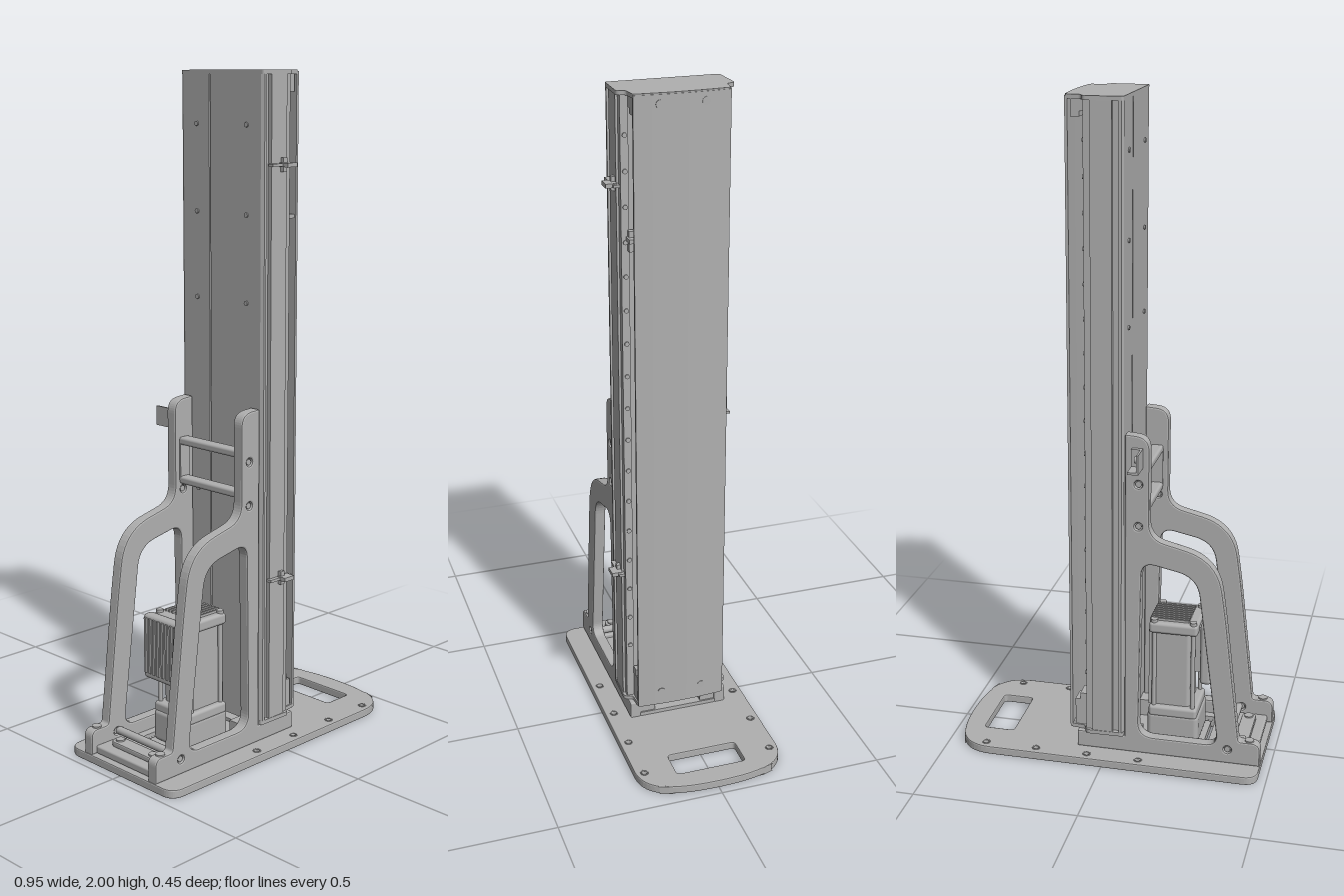
import * as THREE from 'three';
import { RoundedBoxGeometry } from 'three/addons/geometries/RoundedBoxGeometry.js';

const grey = new THREE.MeshStandardMaterial({ color: 0xb0b0b0, side: THREE.DoubleSide });
grey.name = 'machine grey';

export function createModel() {
  const model = new THREE.Group();
  model.name = 'liftColumn';

  const add = (name, geo, parent = model) => {
    const m = new THREE.Mesh(geo, grey);
    m.name = name;
    parent.add(m);
    return m;
  };
  const group = (name) => {
    const g = new THREE.Group();
    g.name = name;
    model.add(g);
    return g;
  };
  // box given by its limits on each axis, optionally with rounded edges
  const box = (name, [x0, x1], [y0, y1], [z0, z1], parent, r = 0) => {
    const s = [x1 - x0, y1 - y0, z1 - z0];
    const geo = r ? new RoundedBoxGeometry(...s, 2, r) : new THREE.BoxGeometry(...s);
    return add(name, geo.translate((x0 + x1) / 2, (y0 + y1) / 2, (z0 + z1) / 2), parent);
  };
  // cylinder centred on a point, along the named axis
  const rod = (name, axis, r, len, [x, y, z], parent, sides = 20) => {
    const geo = new THREE.CylinderGeometry(r, r, len, sides);
    if (axis === 'x') geo.rotateZ(Math.PI / 2);
    if (axis === 'z') geo.rotateX(Math.PI / 2);
    return add(name, geo.translate(x, y, z), parent);
  };
  // outline with rounded corners; points are [x, y, radius]
  const rounded = (pts, Type = THREE.Shape) => {
    const s = new Type();
    pts.forEach(([x, y, r = 0], i) => {
      const p = new THREE.Vector2(x, y);
      const toward = (q) => new THREE.Vector2(q[0], q[1]).sub(p).normalize().multiplyScalar(r).add(p);
      const a = toward(pts[(i + pts.length - 1) % pts.length]);
      const b = toward(pts[(i + 1) % pts.length]);
      if (i) s.lineTo(a.x, a.y); else s.moveTo(a.x, a.y);
      if (r) s.quadraticCurveTo(x, y, b.x, b.y);
    });
    s.closePath();
    return s;
  };
  const rect = (x0, x1, y0, y1, r, Type) =>
    rounded([[x0, y0, r], [x1, y0, r], [x1, y1, r], [x0, y1, r]], Type);
  const circle = (x, y, r) => new THREE.Path().absarc(x, y, r, 0, Math.PI * 2, true);
  const extrude = (shape, depth, bevel = 0) => new THREE.ExtrudeGeometry(shape, {
    depth: depth - 2 * bevel, curveSegments: 10, bevelEnabled: bevel > 0, bevelSize: bevel,
    bevelThickness: bevel, bevelOffset: -bevel, bevelSegments: 2,
  }).translate(0, 0, bevel);
  // plan outline (x, -z) raised from y0 to y1
  const raise = (shape, y0, y1, bevel) => extrude(shape, y1 - y0, bevel).rotateX(-Math.PI / 2).translate(0, y0, 0);

  // Base plate with handle slot, bolt holes and drive opening
  const plate = rounded([[-0.475, -0.227, 0.045], [0.43, -0.227, 0.08], [0.468, -0.12, 0.06],
    [0.476, 0, 0.06], [0.468, 0.12, 0.06], [0.43, 0.227, 0.08], [-0.475, 0.227, 0.045]]);
  plate.holes.push(rect(0.31, 0.405, -0.108, 0.108, 0.012, THREE.Path));
  plate.holes.push(rect(-0.3, 0.08, -0.095, 0.095, 0.015, THREE.Path));
  for (const x of [-0.11, 0.05, 0.21, 0.37])
    for (const z of [-0.2, 0.2]) plate.holes.push(circle(x, z, 0.008));
  add('basePlate', raise(plate, 0.004, 0.03, 0.004));
  const collar = group('boltCollars');
  for (const x of [-0.11, 0.05, 0.21, 0.37])
    for (const z of [-0.2, 0.2])
      add('boltCollar', new THREE.TorusGeometry(0.0105, 0.002, 6, 20).rotateX(Math.PI / 2).translate(x, 0.03, z), collar);

  // Side frames: foot, bottom rail, curved strut and upright in one outline
  const outline = rounded([[-0.473, 0.03], [0.09, 0.03], [0.09, 0.083, 0.005], [-0.058, 0.083],
    [-0.058, 1.05, 0.006], [-0.13, 1.045, 0.04], [-0.13, 0.735, 0.05], [-0.335, 0.685, 0.1],
    [-0.362, 0.5, 0.05], [-0.408, 0.105, 0.01], [-0.473, 0.105, 0.025]]);
  outline.holes.push(rounded([[-0.345, 0.085, 0.04], [-0.1, 0.085, 0.05], [-0.108, 0.66, 0.045],
    [-0.275, 0.625, 0.06]], THREE.Path));
  for (const [x, y] of [[-0.098, 0.9], [-0.098, 0.77], [-0.375, 0.075]]) outline.holes.push(circle(x, y, 0.012));
  const frames = group('sideFrames');
  for (const z0 of [-0.157, 0.121]) {
    add('sideFrame', extrude(outline, 0.036, 0.005).translate(0, 0, z0), frames);
    for (const [x, y] of [[-0.098, 0.9], [-0.098, 0.77], [-0.375, 0.075]])
      rod('frameBolt', 'z', 0.009, 0.026, [x, y, z0 + 0.018], frames);
    rod('footBolt', 'y', 0.014, 0.006, [-0.44, 0.106, z0 + 0.018], frames);
  }

  // Cross bars joining the frames
  const bars = group('crossBars');
  for (const y of [0.8, 0.92]) box('crossBar', [-0.114, -0.076], [y - 0.012, y + 0.012], [-0.125, 0.125], bars, 0.008);
  for (const z of [-0.122, 0.122]) box('crossBarFlange', [-0.114, -0.076], [0.8, 0.92], [z - 0.006, z + 0.006], bars);
  box('footBeam', [-0.457, -0.36], [0.03, 0.055], [-0.125, 0.125], bars, 0.006);
  add('footPad', raise(rect(-0.428, -0.384, -0.095, 0.095, 0.022), 0.055, 0.072, 0.004), bars);
  for (const z of [-0.072, 0.072]) rod('padBolt', 'y', 0.014, 0.005, [-0.406, 0.074, z], bars);
  rod('footRod', 'z', 0.012, 0.25, [-0.365, 0.075, 0], bars);
  const floor = rect(-0.36, 0.09, -0.125, 0.125, 0.005);
  floor.holes.push(rect(-0.3, -0.02, -0.095, 0.095, 0.015, THREE.Path));
  add('lowerTray', raise(floor, 0.03, 0.042), bars);

  // Column body: profile with slots down both sides and a seam at the back
  const half = [[-0.055, 0.155], [-0.05, 0.165], [-0.042, 0.165], [-0.042, 0.152], [-0.022, 0.152],
    [-0.022, 0.165], [0.04, 0.165], [0.04, 0.158], [0.06, 0.158], [0.06, 0.135], [0.052, 0.135], [0.052, 0.11]];
  const profile = [...half, ...half.map(([x, z]) => [x, -z]).reverse(),
    [-0.055, 0.045], [-0.05, 0.045], [-0.05, 0.05], [-0.055, 0.05]];
  const column = group('column');
  add('columnBody', raise(rounded(profile), 0.085, 1.992), column);
  for (const z of [-0.1, 0.1]) {
    for (const y of [0.77, 0.9, 1.35, 1.6, 1.85]) rod('rearScrew', 'x', 0.007, 0.006, [-0.056, y, z], column, 12);
    box('columnFoot', [-0.1, 0.085], [0.03, 0.086], [z - 0.025, z + 0.025], column);
  }
  // Slightly bowed cover
  const cover = rounded([[0.108, -0.138], [0.116, -0.138], [0.122, -0.07, 0.04], [0.124, 0, 0.04],
    [0.122, 0.07, 0.04], [0.116, 0.138], [0.108, 0.138], [0.112, 0, 0.08]]);
  add('coverPanel', raise(cover, 0.085, 1.996), column);
  // End caps and the blocks that hold the cover
  const capShape = rounded([[-0.055, -0.165, 0.008], [0.06, -0.168, 0.012], [0.068, -0.142, 0.008],
    [0.115, -0.138, 0.01], [0.124, 0, 0.08], [0.115, 0.138, 0.01], [0.068, 0.142, 0.008],
    [0.06, 0.168, 0.012], [-0.055, 0.165, 0.008]]);
  add('topCap', raise(capShape, 1.988, 2), column);
  add('bottomCap', raise(capShape, 0.083, 0.095), column);
  for (const z of [-0.11, 0.11]) {
    box('topBlock', [0.05, 0.1], [1.955, 1.99], [z - 0.026, z + 0.026], column);
    box('topBlockLip', [0.075, 0.1], [1.94, 1.96], [z - 0.026, z + 0.026], column);
    box('bottomBlock', [0.05, 0.1], [0.09, 0.18], [z - 0.026, z + 0.026], column);
    box('bottomBlockLip', [0.06, 0.085], [0.175, 0.2], [z - 0.026, z + 0.026], column);
  }
  for (const z of [-0.065, 0.065])
    for (const y of [0.13, 1.97]) rod('coverScrew', 'x', 0.012, 0.005, [0.121, y, z], column, 16);
  for (const [x, z] of [[-0.03, 0.12], [-0.005, 0.152]])
    for (const s of [-1, 1]) rod('capScrew', 'y', 0.011, 0.004, [x, 2 - 0.002, s * z], column, 16);
  // Row of rail screws behind the cover
  for (let i = 0; i < 17; i++)
    for (const z of [-0.146, 0.146]) rod('railScrew', 'x', 0.007, 0.006, [0.061, 0.28 + i * 0.1, z], column, 12);

  // Sensor tabs on the front edge and a stop on the rail
  const tabs = group('sensorTabs');
  for (const y of [0.53, 1.74]) {
    box('tabBlade', [-0.03, 0.06], [y - 0.004, y + 0.004], [0.16, 0.178], tabs);
    box('tabHead', [0.01, 0.05], [y - 0.006, y + 0.006], [0.165, 0.197], tabs);
    box('tabPlate', [0.015, 0.03], [y - 0.02, y + 0.02], [0.16, 0.176], tabs);
  }
  box('railStop', [0.058, 0.075], [1.555, 1.615], [0.11, 0.14], tabs);
  box('railStopFinger', [0.06, 0.095], [1.585, 1.597], [0.11, 0.145], tabs);

  // Hook on the rear frame
  const hook = group('hook');
  box('hookPlate', [-0.112, -0.106], [0.953, 1.012], [-0.223, -0.155], hook);
  box('hookShelf', [-0.112, -0.08], [0.953, 0.96], [-0.223, -0.165], hook);
  box('hookMount', [-0.112, -0.08], [0.953, 1.012], [-0.17, -0.155], hook);
  rod('hookPin', 'x', 0.01, 0.012, [-0.102, 0.99, -0.195], hook);

  // Drive unit with cooling fins and a connection box
  const drive = group('driveUnit');
  box('driveFoot', [-0.285, 0.075], [0.01, 0.032], [-0.085, 0.085], drive);
  box('gearHousing', [-0.27, -0.11], [0.03, 0.13], [-0.08, 0.08], drive, 0.015);
  box('motorBody', [-0.24, -0.125], [0.12, 0.425], [-0.062, 0.062], drive, 0.012);
  for (const y of [0.135, 0.415]) box('motorFlange', [-0.265, -0.115], [y - 0.018, y + 0.018], [-0.08, 0.08], drive, 0.01);
  for (let i = 0; i < 9; i++) {
    const z = -0.056 + i * 0.014;
    box('topFin', [-0.235, -0.115], [0.425, 0.44], [z - 0.003, z + 0.003], drive);
    box('sideFin', [-0.125, -0.112], [0.15, 0.4], [z - 0.003, z + 0.003], drive);
  }
  for (const x of [-0.25, -0.13])
    for (const z of [-0.066, 0.066]) {
      rod('tieRod', 'y', 0.007, 0.3, [x, 0.28, z], drive, 12);
      rod('motorBolt', 'y', 0.011, 0.01, [x, 0.436, z], drive, 12);
    }
  box('connectionBox', [-0.308, -0.272], [0.24, 0.44], [-0.078, 0.078], drive, 0.012);
  box('connectionNeck', [-0.275, -0.235], [0.27, 0.42], [-0.05, 0.05], drive);
  for (let i = 0; i < 8; i++) {
    const z = -0.063 + i * 0.018;
    box('boxRib', [-0.313, -0.305], [0.26, 0.43], [z - 0.004, z + 0.004], drive);
  }
  return model;
}
